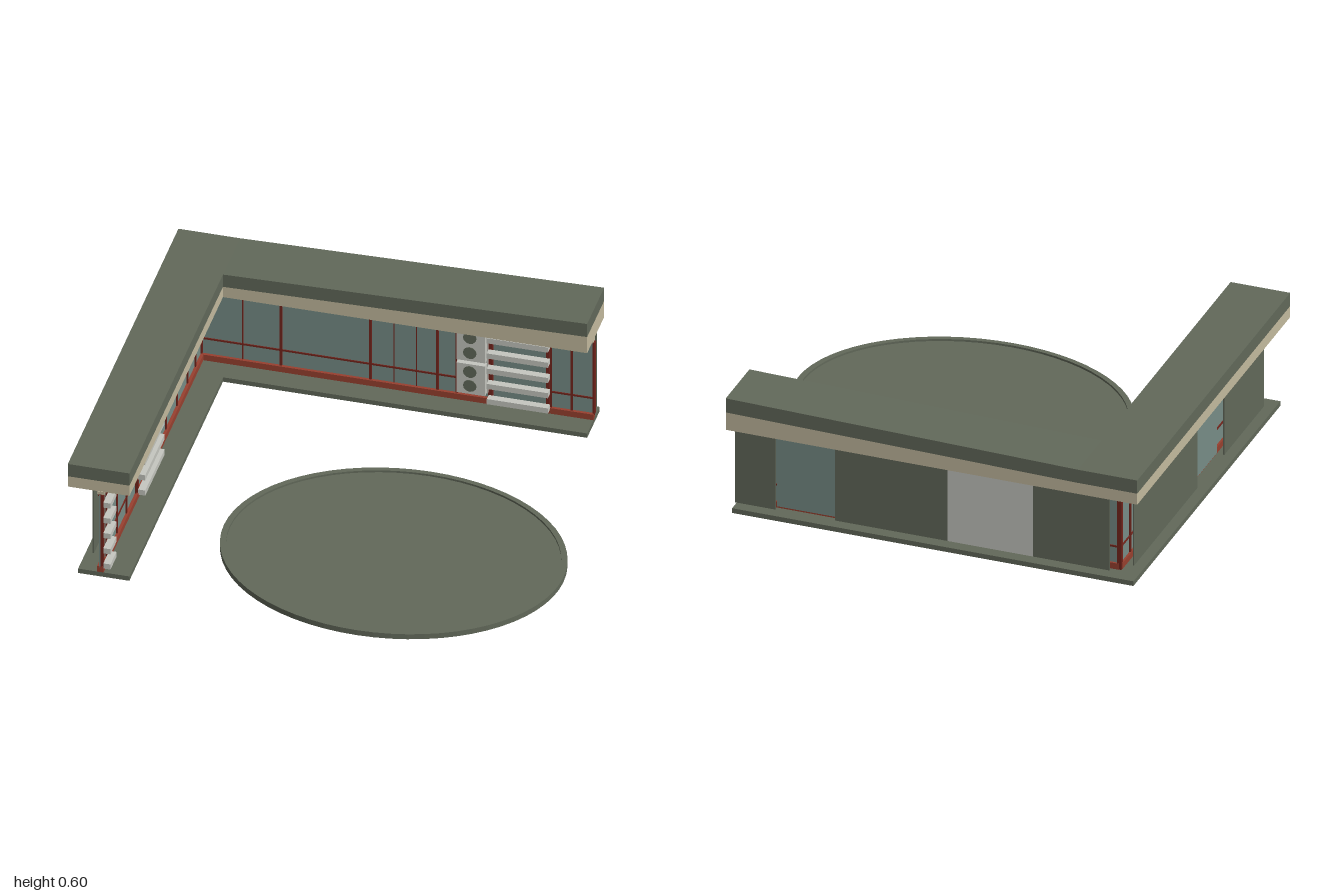
import * as THREE from 'three';

const mat = (name, color, side = THREE.FrontSide) => {
  const m = new THREE.MeshStandardMaterial({ color, side });
  m.name = name;
  return m;
};

export function createModel() {
  const root = new THREE.Group();
  root.name = 'pavilion';
  const green = mat('oliveGreen', 0x62695a);
  const beige = mat('beige', 0xc4bb9f);
  const glass = mat('glass', 0x778d87);
  const red = mat('frameRed', 0x74251c);
  const sillRed = mat('sillRed', 0x98402f);
  const white = mat('paleGrey', 0xc6c7c0);

  const add = (parent, name, geo, material) => {
    const m = new THREE.Mesh(geo, material);
    m.name = name;
    parent.add(m);
    return m;
  };
  // Box from its minimum and maximum corners
  const box = (parent, name, material, x0, x1, y0, y1, z0, z1) => {
    const m = add(parent, name, new THREE.BoxGeometry(x1 - x0, y1 - y0, z1 - z0), material);
    m.position.set((x0 + x1) / 2, (y0 + y1) / 2, (z0 + z1) / 2);
    return m;
  };
  // Outline in x and y, drawn out along z
  const extrude = (parent, name, material, pts, z0, z1) => {
    const shape = new THREE.Shape(pts.map(([x, y]) => new THREE.Vector2(x, y)));
    const m = add(parent, name, new THREE.ExtrudeGeometry(shape, { depth: z1 - z0, bevelEnabled: false }), material);
    m.position.z = z0;
    return m;
  };

  // L-shaped floor slab
  box(root, 'backSlab', green, -0.955, 0.83, 0.02, 0.042, -0.87, -0.67);
  box(root, 'sideSlab', green, -0.955, -0.735, 0.02, 0.042, -0.67, 0.825);

  // Roof: flat over the side wing, rising along the back wing
  extrude(root, 'backFascia', beige,
    [[-1, 0.448], [0.83, 0.448], [0.83, 0.53], [-0.735, 0.5], [-1, 0.5]], -0.943, -0.67);
  extrude(root, 'backRoof', green,
    [[-1, 0.5], [-0.735, 0.5], [0.83, 0.53], [0.83, 0.596], [-0.735, 0.562], [-1, 0.562]], -0.943, -0.67);
  box(root, 'sideFascia', beige, -1, -0.735, 0.448, 0.5, -0.67, 0.823);
  box(root, 'sideRoof', green, -1, -0.735, 0.5, 0.562, -0.67, 0.823);

  // Glazed courtyard wall, running along local x and facing local +z
  const facade = (name, u0, u1, posts, thinPosts, railSpans, louvres) => {
    const g = new THREE.Group();
    g.name = name;
    root.add(g);
    box(g, 'glazing', glass, u0, u1, 0.065, 0.432, -0.003, 0.003);
    box(g, 'sill', sillRed, u0, u1, 0.042, 0.07, -0.012, 0.016);
    box(g, 'topRail', red, u0, u1, 0.426, 0.434, -0.008, 0.008);
    box(g, 'header', beige, u0, u1, 0.434, 0.449, -0.012, 0.02);
    for (const u of posts) box(g, 'mullion', red, u - 0.005, u + 0.005, 0.065, 0.43, -0.009, 0.009);
    for (const u of thinPosts) box(g, 'thinMullion', red, u - 0.002, u + 0.002, 0.065, 0.43, -0.006, 0.006);
    for (const [a, b] of railSpans) box(g, 'midRail', red, a, b, 0.142, 0.15, -0.007, 0.007);
    for (const [a, b] of louvres) {
      for (let i = 0; i < 5; i++) {
        const y = 0.075 + i * 0.077;
        box(g, 'louvre', white, a, b, y - 0.013, y + 0.013, 0.015, 0.046);
      }
      // Frames at both ends of the louvres
      for (const u of [a + 0.009, b - 0.009])
        box(g, 'louvreFrame', red, u - 0.008, u + 0.008, 0.065, 0.43, 0.002, 0.015);
    }
    return g;
  };

  const back = facade('backFacade', -0.862, 0.83,
    [-0.515, -0.13, 0.158, 0.24, 0.38, 0.645, 0.735, 0.829],
    [-0.68, -0.03, 0.067], [[-0.86, 0.24], [0.645, 0.83]], [[0.38, 0.643]]);
  back.position.z = -0.785;

  // Grey column of two boxes with round openings
  box(back, 'boxColumn', white, 0.246, 0.378, 0.1, 0.43, 0.004, 0.022);
  for (const [y0, y1] of [[0.102, 0.252], [0.268, 0.424]]) {
    box(back, 'columnBox', white, 0.25, 0.374, y0, y1, 0.022, 0.048);
    for (const y of [y0 + 0.042, y1 - 0.038]) {
      const disc = add(back, 'roundOpening', new THREE.CylinderGeometry(0.029, 0.029, 0.004, 12), green);
      disc.rotation.x = Math.PI / 2;
      disc.position.set(0.308, y, 0.049);
    }
  }

  // Side wing: local x runs towards -z
  const side = facade('sideFacade', -0.825, 0.785,
    [-0.725, -0.57, -0.42, -0.27, 0.04, 0.21, 0.385, 0.555, 0.68, 0.78],
    [], [[-0.725, -0.27], [0.04, 0.785]], [[-0.27, 0.04], [-0.825, -0.73]]);
  side.rotation.y = Math.PI / 2;
  side.position.x = -0.862;

  // Corner post where the two glazed walls meet
  box(root, 'cornerPost', red, -0.872, -0.852, 0.042, 0.434, -0.795, -0.775);

  // Outer wall panels on the back
  const backPanel = (name, material, x0, x1, z) =>
    box(root, name, material, x0, x1, 0.06, 0.432, z - 0.003, z + 0.003);
  backPanel('backWallPanel', green, -0.84, -0.5, -0.845);
  backPanel('greyDoor', white, -0.5, -0.12, -0.845);
  backPanel('backWallPanel', green, -0.12, 0.38, -0.845);
  backPanel('backWindow', glass, 0.375, 0.65, -0.815);
  backPanel('backWallPanel', green, 0.645, 0.825, -0.845);

  // Outer wall panels on the side
  const sidePanel = (name, material, z0, z1, x) =>
    box(root, name, material, x - 0.003, x + 0.003, 0.06, 0.432, z0, z1);
  sidePanel('sideWallPanel', green, -0.77, -0.04, -0.917);
  sidePanel('sideWindow', glass, -0.045, 0.275, -0.882);
  sidePanel('sideWallPanel', green, 0.27, 0.725, -0.917);

  // Oval courtyard pool with a raised rim
  const profile = [[0, 0], [0.73, 0], [0.73, 0.025], [0.704, 0.025], [0.704, 0.016], [0, 0.016]];
  const lathe = new THREE.LatheGeometry(profile.map(([r, y]) => new THREE.Vector2(r, y)), 64).toNonIndexed();
  lathe.computeVertexNormals();
  const pool = add(root, 'ovalPool', lathe, green);
  pool.scale.z = 0.595 / 0.73;
  pool.position.set(0.27, 0, 0.337);

  return root;
}
